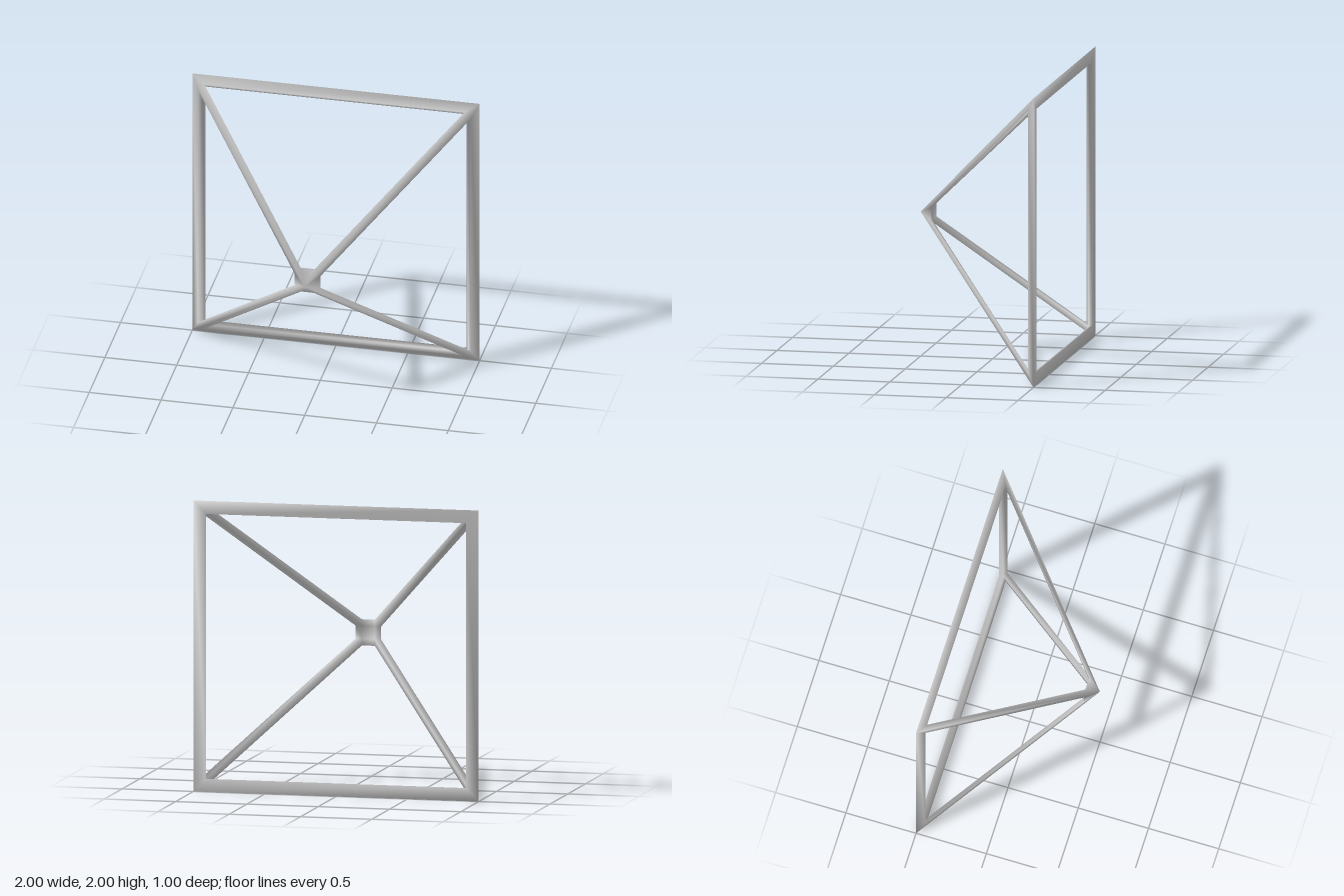
import * as THREE from 'three';

// Open pyramid frame lying on its side: square base at the back, apex to the front.
// One quarter is described once and turned four times about the z axis.
const QUARTER = [
  [1, 1, -0.5],          // C  outer corner
  [0.905, 0.95, -0.45],  // BR opening, base end, right
  [-0.905, 0.95, -0.45], // BL opening, base end, left
  [0.045, 0.09, 0.41],   // TR opening, apex end, right
  [-0.045, 0.09, 0.41],  // TL opening, apex end, left
  [0.045, 0.045, 0.41],  // J  inner ridge at the apex
  [0.925, 0.925, -0.47], // I  inner ridge at the corner
  [0.91, 0.91, -0.5],    // K  corner of the base opening
];
const [C, BR, BL, TR, TL, J, I, K] = QUARTER.keys();
const APEX = 4 * QUARTER.length;

export function createModel() {
  const positions = [];
  for (let k = 0; k < 4; k++) {
    for (const [x, y, z] of QUARTER) {
      let px = x, py = y;
      for (let r = 0; r < k; r++) [px, py] = [-py, px];
      positions.push(px, py + 1, z);
    }
  }
  positions.push(0, 1, 0.5);

  const parts = { baseFrame: [], ridgeBars: [], apexCap: [] };
  const quad = (list, a, b, c, d) => list.push(a, b, c, a, c, d);

  for (let k = 0; k < 4; k++) {
    const v = (i) => k * QUARTER.length + i;                 // this quarter
    const n = (i) => ((k + 1) % 4) * QUARTER.length + i;     // next quarter

    // Base bar: sloped face, inner wall, wall to the base opening, back face
    quad(parts.baseFrame, v(C), n(C), v(BL), v(BR));
    quad(parts.baseFrame, v(BR), v(BL), n(I), v(I));
    quad(parts.baseFrame, v(I), n(I), n(K), v(K));
    quad(parts.baseFrame, v(K), n(K), n(C), v(C));

    // Ridge bars: outer strips and inner walls either side of the opening
    quad(parts.ridgeBars, APEX, v(C), v(BR), v(TR));
    quad(parts.ridgeBars, APEX, v(TL), v(BL), n(C));
    quad(parts.ridgeBars, v(TR), v(BR), v(I), v(J));
    quad(parts.ridgeBars, v(BL), v(TL), n(J), n(I));

    // Apex cap: outer triangle and underside
    parts.apexCap.push(APEX, v(TR), v(TL));
    quad(parts.apexCap, v(TL), v(TR), v(J), n(J));
  }
  const [j0, j1, j2, j3] = [0, 1, 2, 3].map((k) => k * QUARTER.length + J);
  quad(parts.apexCap, j3, j2, j1, j0);

  // Smooth normals are shared by all parts so the joints blend
  const whole = new THREE.BufferGeometry();
  whole.setAttribute('position', new THREE.Float32BufferAttribute(positions, 3));
  whole.setIndex(Object.values(parts).flat());
  whole.computeVertexNormals();

  const material = new THREE.MeshStandardMaterial({ color: 0xcccccc });
  const group = new THREE.Group();
  group.name = 'pyramidFrame';
  for (const [name, index] of Object.entries(parts)) {
    const geometry = whole.clone();
    geometry.setIndex(index);
    const mesh = new THREE.Mesh(geometry, material);
    mesh.name = name;
    group.add(mesh);
  }
  return group;
}
